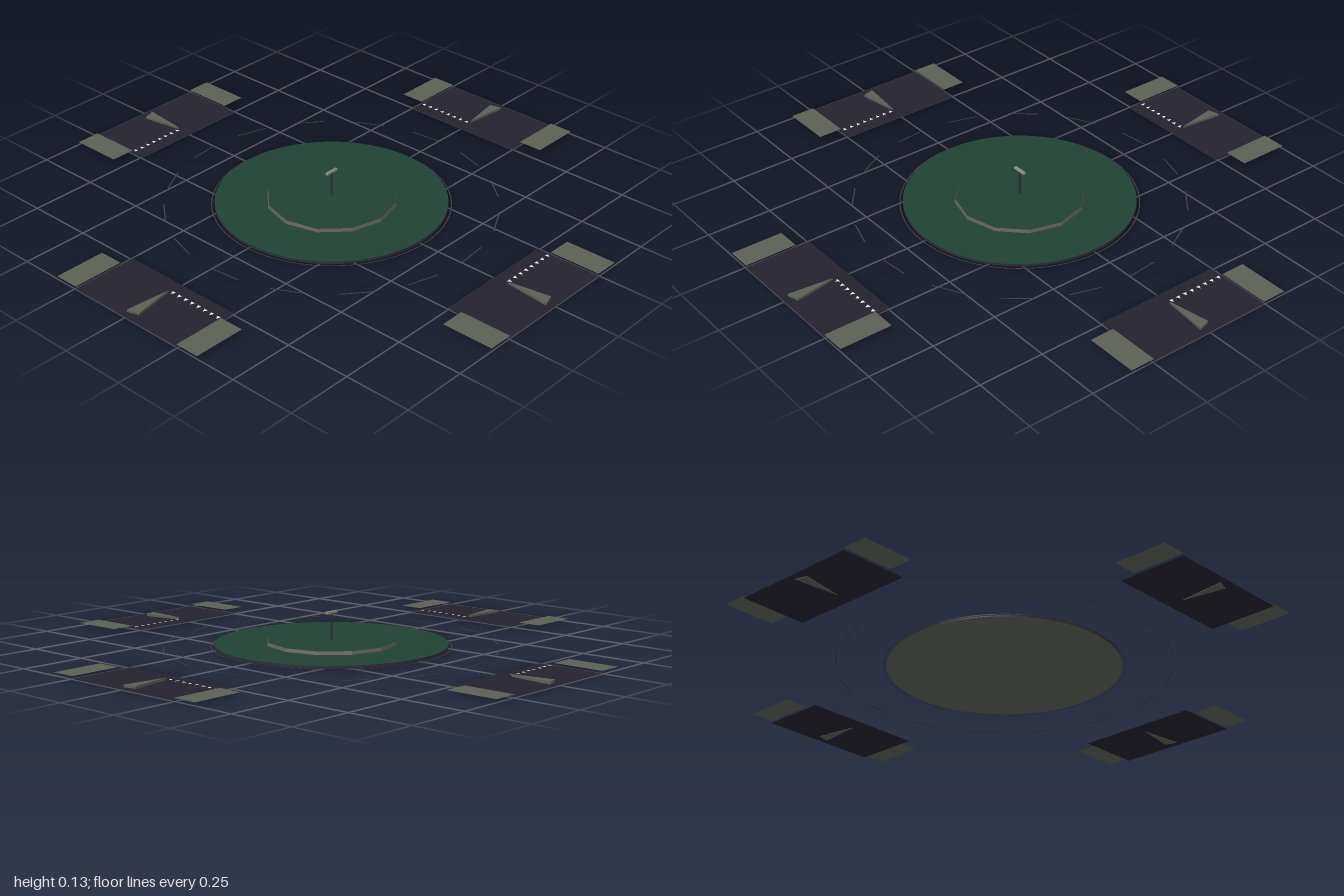
import * as THREE from 'three';

const mat = (name, color, side = THREE.FrontSide) => {
  const m = new THREE.MeshStandardMaterial({ color, side });
  m.name = name;
  return m;
};

export function createModel() {
  const asphalt = mat('asphalt', 0x23222d, THREE.DoubleSide);
  const concrete = mat('concrete', 0x5b5f56, THREE.DoubleSide);
  const grass = mat('grass', 0x204135);
  const paint = mat('white paint', 0xf0f0f0, THREE.DoubleSide);
  const lineGrey = mat('line grey', 0x3c3d3e, THREE.DoubleSide);
  const poleDark = mat('dark metal', 0x2c2c34);
  const lampGrey = mat('lamp grey', 0x8c8e88);

  const model = new THREE.Group();
  model.name = 'roundabout';

  const add = (parent, name, geometry, material, x = 0, y = 0, z = 0) => {
    const mesh = new THREE.Mesh(geometry, material);
    mesh.name = name;
    mesh.position.set(x, y, z);
    parent.add(mesh);
    return mesh;
  };
  // Flat horizontal rectangle facing up
  const slab = (w, d) => new THREE.PlaneGeometry(w, d).rotateX(-Math.PI / 2);
  // Polygon given as [x, z] points, laid flat
  const outline = (pts) => new THREE.Shape(pts.map(([x, z]) => new THREE.Vector2(x, -z)));

  // Central island: kerbed grass disc with a raised twelve-sided mound
  const island = new THREE.Group();
  island.name = 'centralIsland';
  model.add(island);
  add(island, 'islandBase', new THREE.CylinderGeometry(0.423, 0.423, 0.01, 64),
    [poleDark, grass, concrete], 0, 0.009, 0);
  const mound = new THREE.CylinderGeometry(0.235, 0.239, 0.012, 12).toNonIndexed();
  mound.computeVertexNormals();
  add(island, 'raisedMound', mound, [concrete, grass, concrete], 0, 0.02, 0);
  add(island, 'islandEdgeLine', new THREE.RingGeometry(0.432, 0.436, 64).rotateX(-Math.PI / 2),
    lineGrey, 0, 0.004, 0);

  // Lamp post with a short crossbar
  const lamp = new THREE.Group();
  lamp.name = 'lampPost';
  model.add(lamp);
  add(lamp, 'pole', new THREE.CylinderGeometry(0.004, 0.004, 0.098, 8), poleDark, 0, 0.074, 0);
  add(lamp, 'lampBar', new THREE.BoxGeometry(0.054, 0.008, 0.01), lampGrey, 0, 0.125, 0);

  // Dashed lane circle: sixteen straight dashes
  const lane = new THREE.Group();
  lane.name = 'laneDashes';
  model.add(lane);
  const dashCount = 16, step = (Math.PI * 2) / dashCount, laneRadius = 0.604;
  for (let i = 0; i < dashCount; i++) {
    const a = (i + 0.25) * step;
    const dash = add(lane, 'laneDash', slab(laneRadius * step / 2, 0.005), lineGrey,
      Math.sin(a) * laneRadius, 0.003, Math.cos(a) * laneRadius);
    dash.rotation.y = a;
  }

  // Four identical approach roads, a quarter turn apart
  for (let k = 0; k < 4; k++) {
    const arm = new THREE.Group();
    arm.name = 'approachRoad';
    arm.rotation.y = k * Math.PI / 2;
    model.add(arm);

    add(arm, 'roadway', slab(0.49, 0.256), asphalt, 0, 0.002, 0.872);
    for (const s of [-1, 1]) {
      add(arm, 'sidewalk', slab(0.095, 0.2), concrete, s * 0.2925, 0.011, 0.9);
    }

    // Wedge-shaped splitter island between the lanes
    const wedge = new THREE.ExtrudeGeometry(
      outline([[0, 0.805], [-0.018, 0.975], [0.027, 0.962]]),
      { depth: 0.011, bevelEnabled: false }).rotateX(-Math.PI / 2);
    add(arm, 'splitterIsland', wedge, concrete);

    // Row of yield teeth across the entry lane
    const tooth = new THREE.ShapeGeometry(
      outline([[-0.008, -0.007], [0.008, -0.007], [0, 0.009]])).rotateX(-Math.PI / 2);
    for (let i = 0; i < 8; i++) {
      add(arm, 'yieldTooth', tooth, paint, 0.015 + i * 0.0305, 0.005, 0.8);
    }
  }

  return model;
}
